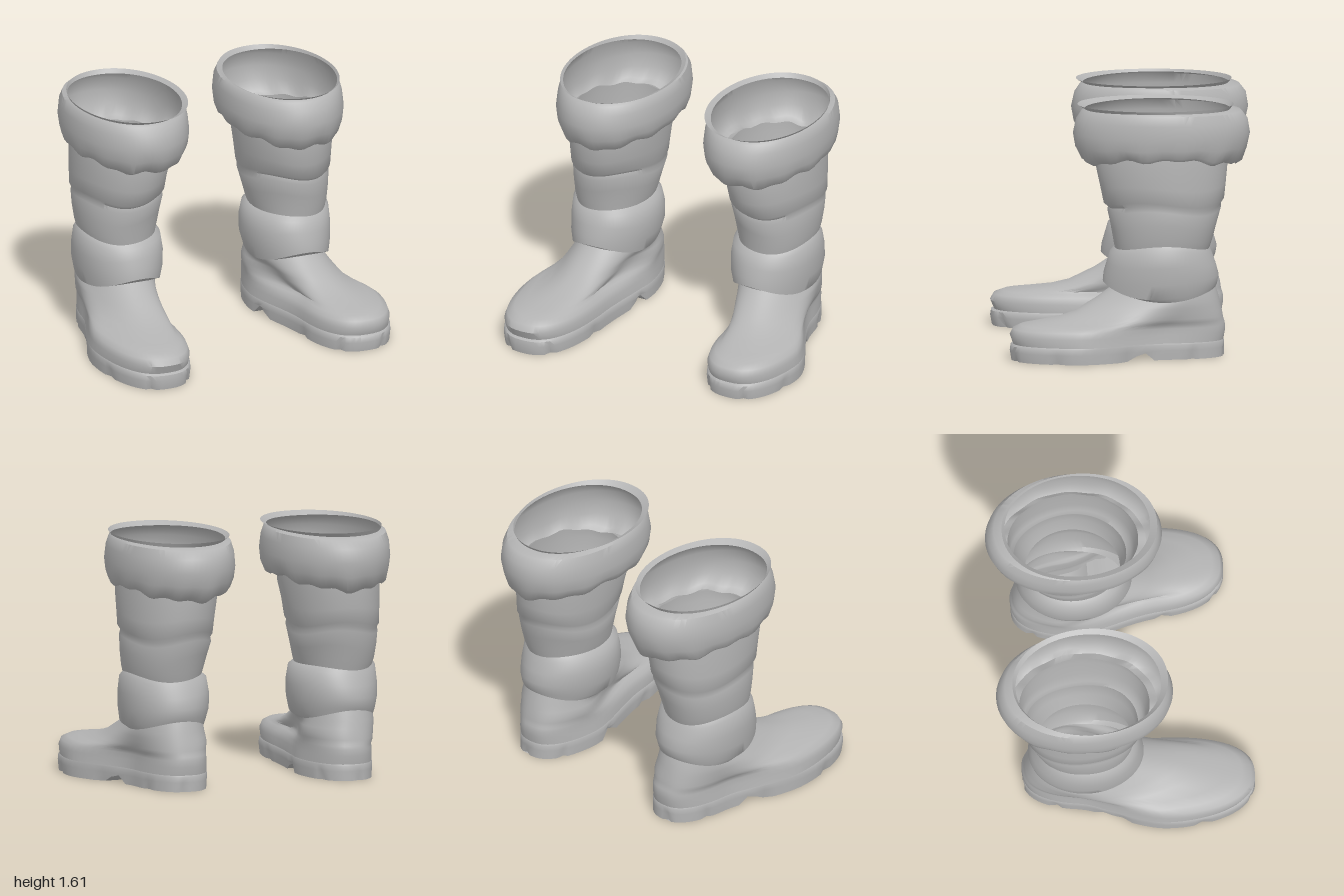
import * as THREE from 'three';
import { toCreasedNormals } from 'three/addons/utils/BufferGeometryUtils.js';

const { lerp, smoothstep, clamp } = THREE.MathUtils;
const SEG = 72;

// Ring: [y, backZ, frontZ, heelX, toeX, heelHalfWidth, toeHalfWidth, waist, sideSag, ripple, lugNotch]
const welt = [0.105, -0.655, 0.69, 0.545, 0.715, 0.268, 0.315, 0.03, 0, 0];
const instep = [0.445, -0.605, 0.06, 0.56, 0.56, 0.238, 0.228, 0, -0.075, 0];
const pinch = [0.70, -0.565, 0.04, 0.565, 0.565, 0.242, 0.24, 0, 0.025, 0.008];
const shaftTop = [1.27, -0.68, 0.155, 0.532, 0.532, 0.303, 0.303, 0, 0.04, 0.008];

const soleRings = [
  [0, -0.66, 0.70, 0.545, 0.715, 0.268, 0.318, 0.03, 0, 0, 0.018],
  [0.06, -0.66, 0.71, 0.545, 0.715, 0.272, 0.322, 0.03, 0, 0, 0.008],
  [0.095, -0.66, 0.705, 0.545, 0.715, 0.272, 0.32, 0.03, 0, 0],
  welt,
];
const footRings = [
  welt,
  [0.16, -0.665, 0.71, 0.545, 0.715, 0.265, 0.315, 0.035, 0, 0],
  [0.20, -0.665, 0.69, 0.545, 0.715, 0.262, 0.303, 0.035, 0, 0],
  [0.222, -0.66, 0.64, 0.545, 0.71, 0.26, 0.27, 0.03, 0, 0],
  [0.236, -0.655, 0.55, 0.55, 0.69, 0.26, 0.235, 0.02, 0, 0],
  [0.26, -0.65, 0.40, 0.55, 0.65, 0.255, 0.215, 0.01, 0, 0],
  [0.295, -0.645, 0.29, 0.55, 0.62, 0.252, 0.21, 0, 0, 0],
  [0.33, -0.635, 0.235, 0.555, 0.60, 0.25, 0.205, 0, 0, 0],
  [0.38, -0.625, 0.15, 0.56, 0.58, 0.245, 0.215, 0, -0.03, 0],
  instep,
];
const ankleRings = [
  instep,
  [0.475, -0.615, 0.115, 0.56, 0.56, 0.255, 0.25, 0, -0.085, 0.008],
  [0.53, -0.625, 0.11, 0.556, 0.556, 0.274, 0.27, 0, -0.05, 0.008],
  [0.60, -0.605, 0.09, 0.555, 0.555, 0.28, 0.278, 0, -0.01, 0.008],
  [0.67, -0.58, 0.07, 0.558, 0.558, 0.268, 0.265, 0, 0.03, 0.008],
  pinch,
];
const shaftRings = [
  pinch,
  [0.76, -0.585, 0.05, 0.565, 0.565, 0.25, 0.25, 0, 0, 0.015],
  [0.85, -0.61, 0.065, 0.56, 0.56, 0.265, 0.265, 0, 0, 0.02],
  [0.95, -0.64, 0.085, 0.55, 0.55, 0.277, 0.277, 0, -0.01, 0.02],
  [0.98, -0.64, 0.08, 0.55, 0.55, 0.27, 0.27, 0, -0.01, 0.02],
  [1.005, -0.66, 0.11, 0.55, 0.55, 0.284, 0.284, 0, -0.01, 0.02],
  [1.10, -0.67, 0.13, 0.545, 0.545, 0.292, 0.292, 0, 0, 0.015],
  [1.22, -0.68, 0.16, 0.535, 0.535, 0.305, 0.305, 0, 0.02, 0.005],
  shaftTop,
];
// The cuff bulges out from the shaft and ends in a thin flared rim
const cuffRings = [
  shaftTop,
  [1.238, -0.735, 0.205, 0.522, 0.522, 0.335, 0.335, 0, 0.055, 0.013],
  [1.26, -0.775, 0.25, 0.515, 0.515, 0.358, 0.358, 0, 0.05, 0.013],
  [1.34, -0.805, 0.29, 0.51, 0.51, 0.376, 0.376, 0, 0.02, 0.005],
  [1.43, -0.825, 0.305, 0.51, 0.51, 0.383, 0.383, 0, 0, 0],
  [1.52, -0.81, 0.285, 0.51, 0.51, 0.376, 0.376, 0, 0, 0],
  [1.572, -0.77, 0.25, 0.51, 0.51, 0.362, 0.362, 0, 0.01, 0],
  [1.585, -0.70, 0.23, 0.512, 0.512, 0.342, 0.342, 0, 0.01, 0],
  [1.612, -0.72, 0.275, 0.5, 0.5, 0.362, 0.362, 0, 0, 0],
];

// Mirrors a point to the right boot, which has a slightly longer foot
function place(side, x, y, z) {
  if (side > 0) return [x, y, z];
  const low = 1 - smoothstep(y, 0.25, 0.45);
  const k = clamp((z + 0.15) / 0.4, 0, 1) * low;
  return [-(x + 0.055 * (1 - k)), y, z + Math.max(z, 0) * 0.155 * low];
}

function ringPoint(side, ring, i) {
  const [y, zb, zf, cxH, cxT, hwH, hwT, waist, sag, ripple, notch = 0] = ring;
  const a = (i / SEG) * Math.PI * 2, inset = i % 8 === 3 ? notch : 0;
  const c = Math.cos(a), s = Math.sin(a), t = (c + 1) / 2;
  const k = smoothstep(t, 0.25, 0.7);
  const power = lerp(0.78, 0.95, smoothstep(y, 0.22, 0.45));
  const hw = lerp(hwH, hwT, k) - waist * Math.sin(Math.PI * t) ** 2 - inset;
  const x = lerp(cxH, cxT, k) + hw * Math.sign(s) * Math.abs(s) ** power;
  const z = (zb + zf) / 2 + ((zf - zb) / 2 - inset) * c;
  const waves = y > 1.15 ? Math.sin(13 * a) * 0.7 + Math.sin(7 * a + 1) * 0.6 : Math.sin(3 * a + 4 * y);
  // Arch raises the underside between forefoot and heel
  const arch = y === 0 ? 0.05 * smoothstep(-z, 0.03, 0.14) * (1 - smoothstep(-z, 0.16, 0.21)) : 0;
  return place(side, x, y + arch + sag * s * s + ripple * waves, z);
}

// Skin over a stack of rings, with an optional floor across the first one
function loft(side, rings, floor = false) {
  const pos = [], index = [];
  const tri = (a, b, c) => (side > 0 ? index.push(a, b, c) : index.push(a, c, b));
  rings.forEach((ring, r) => {
    for (let i = 0; i < SEG; i++) {
      pos.push(...ringPoint(side, ring, i));
      if (r === 0) continue;
      const j = (i + 1) % SEG, low = (r - 1) * SEG, high = r * SEG;
      tri(low + i, low + j, high + j);
      tri(low + i, high + j, high + i);
    }
  });
  for (let i = 1; floor && i < SEG / 2; i++) {
    tri(i, SEG - i, i + 1);
    tri(i, (SEG - i + 1) % SEG, SEG - i);
  }
  const g = new THREE.BufferGeometry();
  g.setAttribute('position', new THREE.Float32BufferAttribute(pos, 3));
  g.setIndex(index);
  return toCreasedNormals(g, 0.85);
}

export function createModel() {
  const model = new THREE.Group();
  model.name = 'bootPair';
  const grey = new THREE.MeshStandardMaterial({ color: 0xb4b4b4, side: THREE.DoubleSide });
  grey.name = 'grey';

  for (const side of [1, -1]) {
    const boot = new THREE.Group();
    boot.name = side > 0 ? 'leftBoot' : 'rightBoot';
    const add = (name, geometry) => {
      const mesh = new THREE.Mesh(geometry, grey);
      mesh.name = name;
      boot.add(mesh);
    };
    add('sole', loft(side, soleRings, true));
    add('foot', loft(side, footRings));
    add('ankleFold', loft(side, ankleRings));
    add('shaft', loft(side, shaftRings));
    add('cuff', loft(side, cuffRings));
    model.add(boot);
  }
  return model;
}
